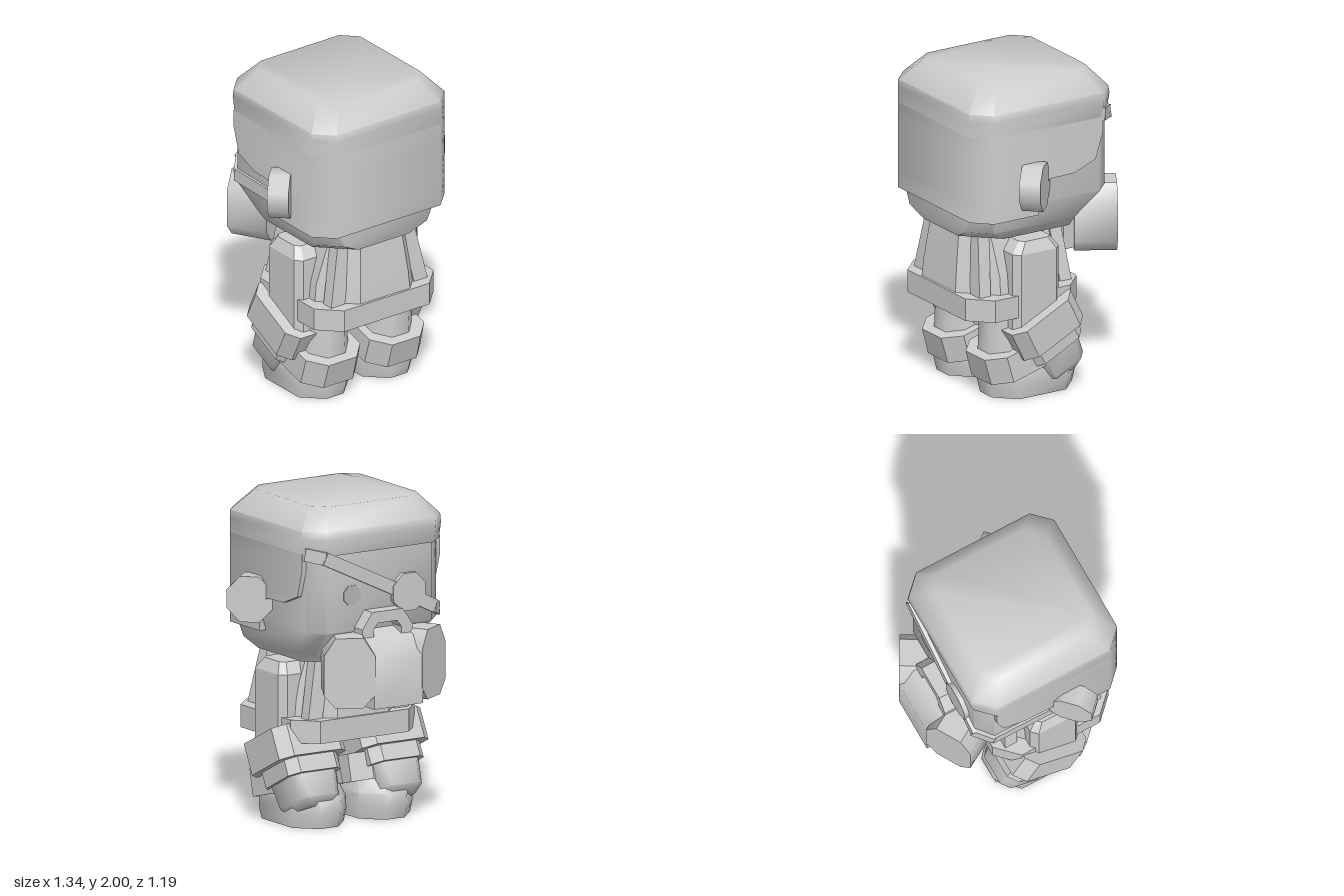
import * as THREE from 'three';
import { toCreasedNormals } from 'three/addons/utils/BufferGeometryUtils.js';

const grey = new THREE.MeshStandardMaterial({ color: 0xcccccc });
grey.name = 'light grey';
const eyeGrey = new THREE.MeshStandardMaterial({ color: 0xb4b4b4 });
eyeGrey.name = 'eye grey';

// Chamfered rectangle at height y: half width x, from z0 (face side) to z1, corner cuts c0 and c1
function ring(y, x, z0, z1, c0, c1 = c0) {
  return [
    [-x + c1, z1], [x - c1, z1], [x, z1 - c1], [x, z0 + c0],
    [x - c0, z0], [-x + c0, z0], [-x, z0 + c0], [-x, z1 - c1],
  ].map(([px, pz]) => [px, y, pz]);
}

// Closed solid through rings listed from bottom to top
function loft(rings, crease = 0.9) {
  const pos = [];
  const tri = (a, b, c) => pos.push(...a, ...b, ...c);
  const n = rings[0].length;
  for (let r = 0; r < rings.length - 1; r++) {
    const a = rings[r], b = rings[r + 1];
    for (let i = 0; i < n; i++) {
      const j = (i + 1) % n;
      tri(a[i], a[j], b[j]);
      tri(a[i], b[j], b[i]);
    }
  }
  const lo = rings[0], hi = rings[rings.length - 1];
  for (let i = 1; i < n - 1; i++) {
    tri(lo[0], lo[i + 1], lo[i]);
    tri(hi[0], hi[i], hi[i + 1]);
  }
  const g = new THREE.BufferGeometry();
  g.setAttribute('position', new THREE.Float32BufferAttribute(pos, 3));
  return toCreasedNormals(g, crease);
}

function polygon(points) {
  return new THREE.Shape(points.map(([x, y]) => new THREE.Vector2(x, y)));
}

function extrude(points, depth) {
  return new THREE.ExtrudeGeometry(polygon(points), { depth, bevelEnabled: false });
}

// Eight-sided disc with its axis along z
function disc(radius, thickness) {
  return new THREE.CylinderGeometry(radius, radius, thickness, 8, 1, false, Math.PI / 8)
    .rotateX(Math.PI / 2);
}

export function createModel() {
  const model = new THREE.Group();
  model.name = 'beardedFigure';
  const add = (name, geometry, x = 0, y = 0, z = 0, parent = model, material = grey) => {
    const m = new THREE.Mesh(geometry, material);
    m.name = name;
    m.position.set(x, y, z);
    parent.add(m);
    return m;
  };

  // Head with sloping chin
  add('head', loft([
    ring(1.03, 0.39, -0.23, 0.54, 0.1, 0.2),
    ring(1.09, 0.43, -0.23, 0.56, 0.09, 0.12),
    ring(1.24, 0.47, -0.39, 0.56, 0.09),
    ring(1.76, 0.47, -0.39, 0.56, 0.09),
  ]));

  // Hair: crown, then the back and sides with a curved hairline
  add('hairCrown', loft([
    ring(1.72, 0.5, -0.4, 0.59, 0.11),
    ring(1.82, 0.5, -0.42, 0.59, 0.11),
    ring(1.87, 0.5, -0.41, 0.59, 0.11),
    ring(2.0, 0.385, -0.3, 0.475, 0.09),
  ]));
  add('hairBack', loft([
    ring(1.18, 0.5, 0.16, 0.59, 0, 0.11),
    ring(1.3, 0.5, 0.16, 0.59, 0, 0.11),
    ring(1.395, 0.5, 0.08, 0.59, 0, 0.11),
    ring(1.4, 0.5, -0.1, 0.59, 0, 0.11),
    ring(1.46, 0.5, -0.25, 0.59, 0, 0.11),
    ring(1.62, 0.5, -0.3, 0.59, 0, 0.11),
    ring(1.73, 0.5, -0.3, 0.59, 0, 0.11),
  ], 0.8));

  // Eye, eye patch and strap
  add('eye', disc(0.065, 0.008), 0.2, 1.46, -0.392, model, eyeGrey);
  add('eyePatch', disc(0.125, 0.035), -0.2, 1.44, -0.402);
  const strap = [
    [0.485, 1.73, -0.26], [0.48, 1.73, -0.32], [0.4, 1.71, -0.405],
    [-0.39, 1.33, -0.4], [-0.475, 1.29, -0.31], [-0.475, 1.28, 0.1],
  ].map((p) => new THREE.Vector3(...p));
  for (let i = 0; i < strap.length - 1; i++) {
    const a = strap[i], b = strap[i + 1];
    const mid = a.clone().lerp(b, 0.5);
    const piece = add('eyePatchStrap',
      new THREE.BoxGeometry(0.025, 0.08, a.distanceTo(b) + 0.01), mid.x, mid.y, mid.z);
    piece.lookAt(b);
  }

  // Arched mouth
  add('mouth', extrude([
    [-0.18, 1.2], [-0.1, 1.2], [-0.1, 1.25], [-0.07, 1.29], [0.07, 1.29], [0.1, 1.25],
    [0.1, 1.2], [0.18, 1.2], [0.18, 1.26], [0.11, 1.36], [-0.11, 1.36], [-0.18, 1.26],
  ], 0.1), 0, 0, -0.48);

  // Beard: middle block and two angled side lobes
  const beard = new THREE.Group();
  beard.name = 'beard';
  model.add(beard);
  const middle = extrude([
    [0.23, 0.79], [0.6, 0.79], [0.6, 1.09], [0.5, 1.2], [0.39, 1.24], [0.23, 1.1],
  ], 0.35).translate(0, 0, -0.175).rotateY(Math.PI / 2);
  add('beardMiddle', toCreasedNormals(middle, 0.9), 0, 0, 0, beard);
  const lobe = extrude([
    [-0.085, 0.8], [0.085, 0.8], [0.155, 0.88], [0.155, 1.12],
    [0.085, 1.23], [-0.085, 1.23], [-0.155, 1.12], [-0.155, 0.88],
  ], 0.26);
  for (const s of [-1, 1]) {
    add('beardLobe', toCreasedNormals(lobe, 0.9), 0.305 * s, 0, -0.525, beard)
      .rotation.y = -s * Math.PI / 6;
  }

  // Torso and belt
  add('torso', loft([
    ring(0.6, 0.39, -0.22, 0.56, 0.2),
    ring(0.78, 0.37, -0.21, 0.545, 0.19),
    ring(1.05, 0.29, -0.18, 0.51, 0.135),
  ], 0.3));
  for (const side of [-1, 1]) {
    // Raised strip beside the centre panel, front and back
    for (const [z0, z1, tilt] of [[0.47, 0.41, -0.1], [-0.13, -0.09, 0.1]]) {
      const strip = add('vestStrip', new THREE.BoxGeometry(0.1, 0.44, 0.08),
        0.28 * side, 0.82, (z0 + z1) / 2);
      strip.rotation.set(tilt, 0, 0.2 * side);
    }
  }
  add('belt', loft([
    ring(0.53, 0.45, -0.23, 0.57, 0.13), ring(0.67, 0.45, -0.23, 0.57, 0.13),
  ], 0.3));

  // Ears, arms and legs, mirrored
  for (const s of [-1, 1]) {
    add('ear', disc(0.152, 0.13), 0.525 * s, 1.38, 0.207).rotation.y = -s * Math.PI / 4;

    const arm = new THREE.Group();
    arm.name = 'arm';
    arm.position.x = 0.3 * s;
    model.add(arm);
    add('upperArm', loft([
      ring(0.45, 0.165, -0.03, 0.3, 0.04),
      ring(0.93, 0.165, -0.03, 0.3, 0.04),
      ring(1.0, 0.13, 0.02, 0.24, 0.03),
    ], 0.4), 0, 0, 0, arm);

    const forearm = new THREE.Group();
    forearm.name = 'forearm';
    forearm.position.set(0, 0.4525, 0.078);
    forearm.rotation.x = 0.464;
    arm.add(forearm);
    add('sleeveCuff', loft([
      ring(-0.1, 0.24, -0.235, 0.235, 0.07), ring(0.1, 0.24, -0.235, 0.235, 0.07),
    ], 0.4), 0, 0, 0, forearm);
    add('wristBand', loft([
      ring(-0.2, 0.19, -0.2, 0.19, 0.06), ring(-0.09, 0.19, -0.2, 0.19, 0.06),
    ], 0.4), 0, 0, 0, forearm);
    add('hand', loft([
      ring(-0.4, 0.11, -0.11, 0.1, 0.04),
      ring(-0.35, 0.15, -0.16, 0.145, 0.05),
      ring(-0.18, 0.165, -0.175, 0.16, 0.05),
    ]), 0, 0, 0, forearm);

    const leg = new THREE.Group();
    leg.name = 'leg';
    leg.position.x = 0.24 * s;
    model.add(leg);
    add('trouserLeg', loft([
      ring(0.15, 0.16, -0.13, 0.39, 0.09), ring(0.56, 0.13, -0.1, 0.385, 0.08),
    ]), 0, 0, 0, leg);
    add('boot', loft([
      ring(0, 0.185, -0.205, 0.37, 0.12),
      ring(0.08, 0.195, -0.22, 0.385, 0.12),
      ring(0.16, 0.195, -0.215, 0.385, 0.12),
      ring(0.27, 0.16, -0.14, 0.37, 0.1),
    ]), 0, 0, 0, leg);
    add('bootCuff', loft([
      ring(-0.085, 0.21, -0.28, 0.28, 0.1), ring(0.085, 0.205, -0.28, 0.28, 0.1),
    ], 0.4), 0, 0.255, 0.155, leg).rotation.x = 0.27;
  }

  return model;
}
